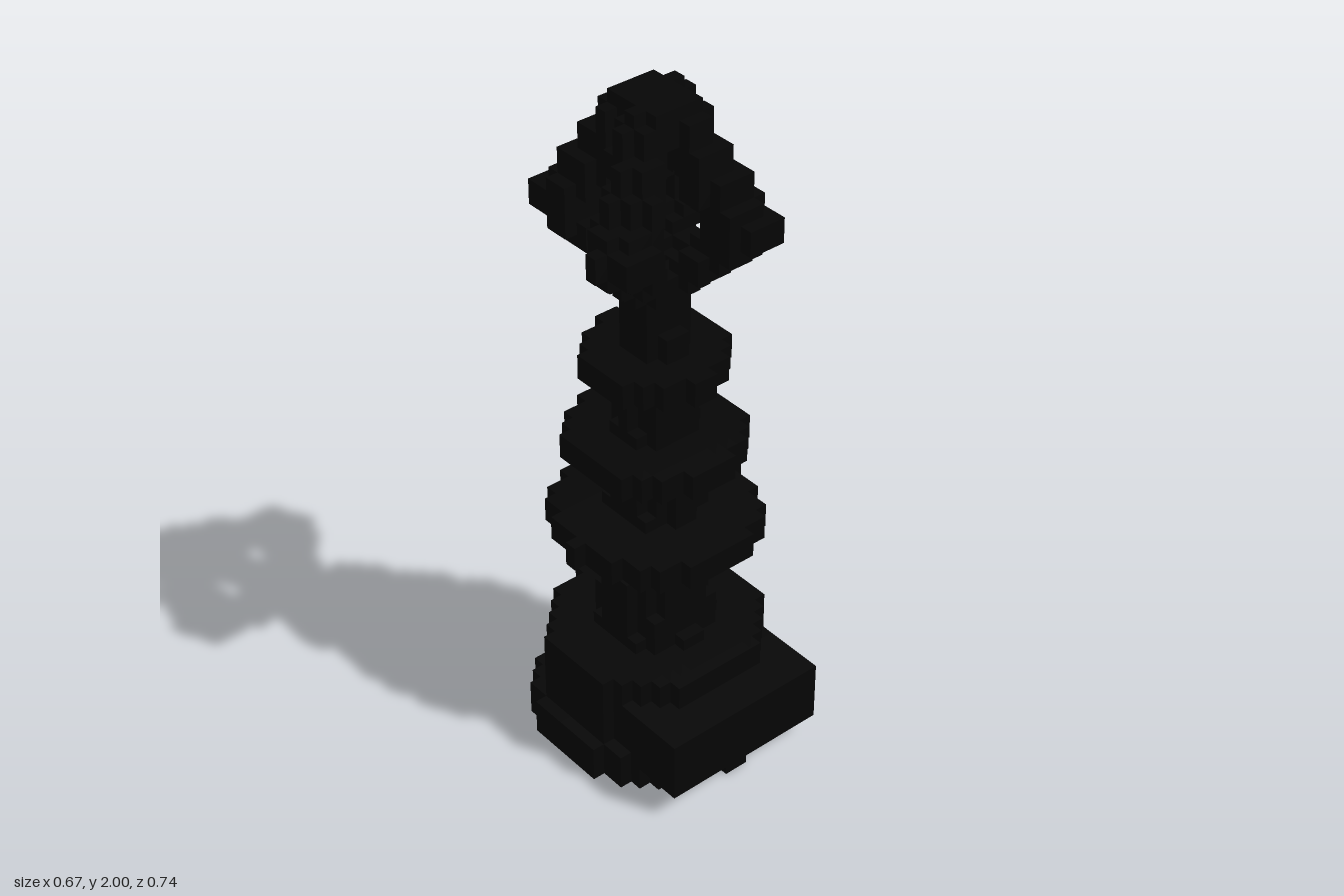
import * as THREE from 'three';
import { mergeGeometries } from 'three/addons/utils/BufferGeometryUtils.js';

const S = 1 / 27; // edge of one cube
const CZ = -0.5; // the round parts sit half a cube back
const material = new THREE.MeshStandardMaterial({ color: 0x060606, flatShading: true });

// One square per cube side, facing outwards
const sides = [
  [1, 0, 0], [-1, 0, 0], [0, 1, 0], [0, -1, 0], [0, 0, 1], [0, 0, -1],
].map((dir) => {
  const normal = new THREE.Vector3(...dir);
  const turn = new THREE.Quaternion().setFromUnitVectors(new THREE.Vector3(0, 0, 1), normal);
  const square = new THREE.PlaneGeometry(S, S).applyQuaternion(turn);
  return { dir, square: square.translate(...normal.multiplyScalar(S / 2).toArray()) };
});

// Cube-built solid between layers y0 and y1, from a rule on cube centres
function blocks(name, y0, y1, inside) {
  const filled = (i, j, k) => j >= y0 && j < y1 && inside(i + 0.5, k + 0.5, j);
  const faces = [];
  for (let j = y0; j < y1; j++) {
    for (let i = -11; i <= 10; i++) {
      for (let k = -11; k <= 10; k++) {
        if (!filled(i, j, k)) continue;
        for (const { dir, square } of sides) {
          if (filled(i + dir[0], j + dir[1], k + dir[2])) continue;
          faces.push(square.clone().translate((i + 0.5) * S, (j + 0.5) * S, (k + 0.5) * S));
        }
      }
    }
  }
  const mesh = new THREE.Mesh(mergeGeometries(faces), material);
  mesh.name = name;
  return mesh;
}

const disc = (r) => (x, z) => Math.hypot(x, z - CZ) <= r;

export function createModel() {
  const group = new THREE.Group();
  group.name = 'trophy';

  // Base: foot, drum and the plaque block at the front
  group.add(blocks('foot', 0, 3, disc(9.1)));
  group.add(blocks('drum', 3, 9, (x, z) => z < 7 && disc(8.1)(x, z)));
  group.add(blocks('plaque', 2, 7, (x, z) => Math.abs(x) < 7 && z > 0 && z < 10));

  // Tapering stem
  group.add(blocks('stem', 9, 40, (x, z, y) => disc(4.77 - 0.0755 * y)(x, z)));

  // Collars around the stem
  [[18, 7.53], [25, 6.42], [32, 5.2]].forEach(([y, r], n) => {
    group.add(blocks(`collar${n + 1}`, y, y + 2, disc(r)));
  });

  // Open cage of four curved ribs, thickest at the bulge; half width of each layer
  const outline = [3, 4, 5, 6, 7, 8, 8, 7, 6, 6, 5, 5, 4, 4, 3];
  for (let n = 0; n < 4; n++) {
    const angle = Math.PI / 3 + (n * Math.PI) / 2;
    group.add(blocks(`cageRib${n + 1}`, 39, 54, (x, z, y) => {
      const half = outline[y - 39];
      const thickness = 1 + 0.16 * half;
      const r = (half - 0.4 - thickness) / Math.cos(Math.PI / 6);
      return Math.hypot(x - r * Math.cos(angle), z - CZ - r * Math.sin(angle)) <= thickness;
    }));
  }
  return group;
}
